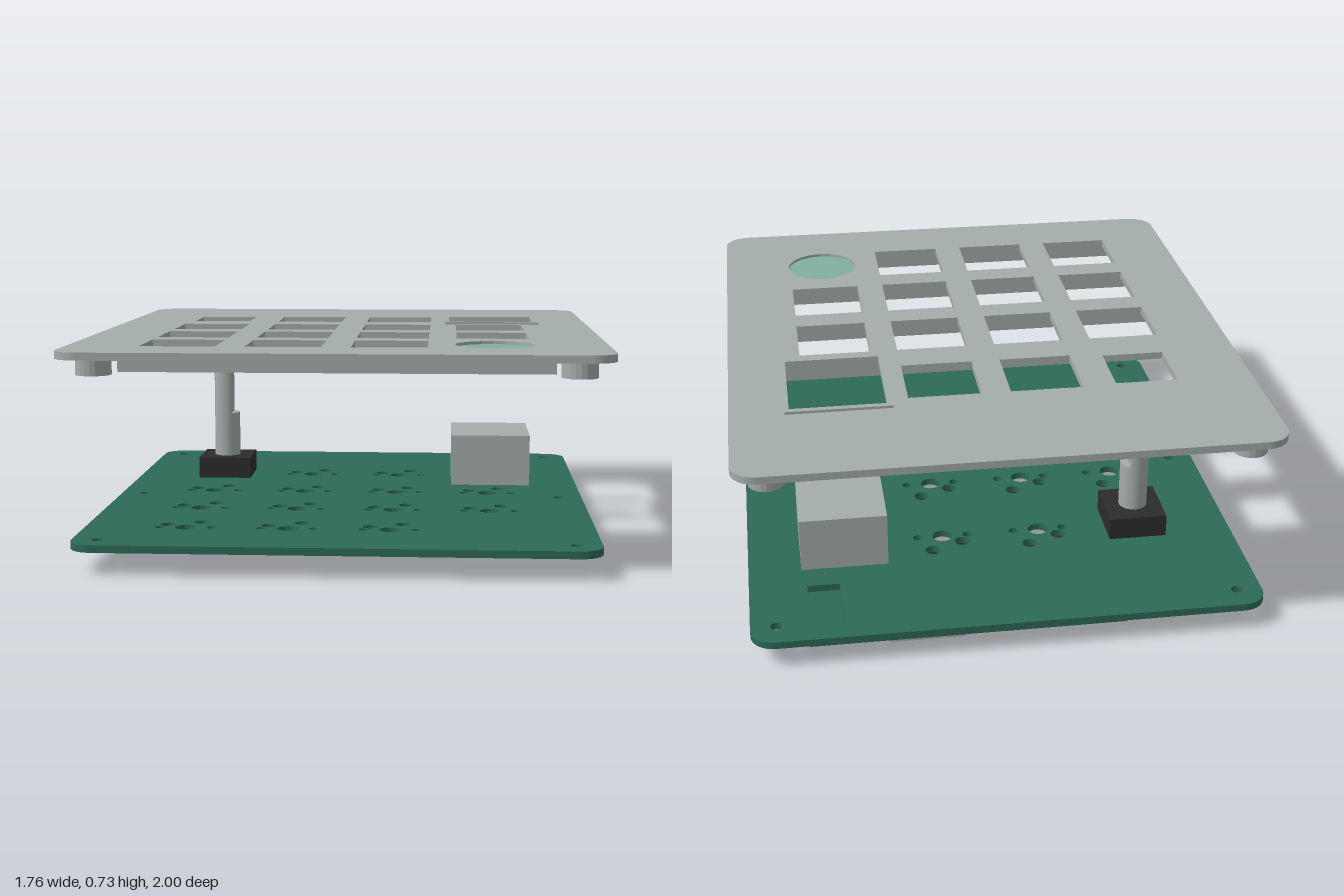
import * as THREE from 'three';

const mat = (name, color) => {
  const m = new THREE.MeshStandardMaterial({ color });
  m.name = name;
  return m;
};

// Outline helpers work in plan: x to the right, z to the front
function rectPath(x0, x1, z0, z1, Type = THREE.Path) {
  return new Type([[x0, z0], [x1, z0], [x1, z1], [x0, z1]].map(([x, z]) => new THREE.Vector2(x, -z)));
}
function circlePath(x, z, r, Type = THREE.Path) {
  const p = new Type();
  p.absarc(x, -z, r, 0, Math.PI * 2);
  return p;
}
function roundedPlan(x0, x1, z0, z1, r) {
  const s = new THREE.Shape(), h = Math.PI / 2;
  s.absarc(x1 - r, -z0 - r, r, 0, h);
  s.absarc(x0 + r, -z0 - r, r, h, 2 * h);
  s.absarc(x0 + r, -z1 + r, r, 2 * h, 3 * h);
  s.absarc(x1 - r, -z1 + r, r, 3 * h, 4 * h);
  s.closePath();
  return s;
}
function slab(shape, y0, y1, curveSegments = 10) {
  const g = new THREE.ExtrudeGeometry(shape, { depth: y1 - y0, bevelEnabled: false, curveSegments });
  return g.rotateX(-Math.PI / 2).translate(0, y0, 0);
}
const boxGeo = (x0, x1, y0, y1, z0, z1) =>
  new THREE.BoxGeometry(x1 - x0, y1 - y0, z1 - z0).translate((x0 + x1) / 2, (y0 + y1) / 2, (z0 + z1) / 2);

export function createModel() {
  const grey = mat('casing grey', 0xa4adaa);
  const green = mat('board green', 0x2d6a57);
  const black = mat('component black', 0x2c2c2e);
  const teal = mat('touch pad teal', 0x82b0a0);

  const model = new THREE.Group();
  const add = (parent, name, geo, material) => {
    const m = new THREE.Mesh(geo, material);
    m.name = name;
    parent.add(m);
    return m;
  };
  const group = (name) => {
    const g = new THREE.Group();
    g.name = name;
    model.add(g);
    return g;
  };

  // Key layout: four by four, without the dial, display and touch pad cells
  const cols = [-0.517, -0.174, 0.169, 0.51], rows = [-0.415, -0.04, 0.305, 0.648];
  const keys = [];
  rows.forEach((z, r) => cols.forEach((x, c) => {
    const used = (r === 0 && (c === 0 || c === 3)) || (r === 3 && c === 3);
    if (!used) keys.push([x, z]);
  }));
  const fixings = [];
  for (const x of [-0.77, 0.77]) for (const z of [-0.89, 0.035, 0.86]) fixings.push([x, z]);

  // Top plate with key, dial, display and touch pad openings
  const cover = group('cover');
  const plate = roundedPlan(-0.88, 0.88, -1, 1, 0.085);
  for (const [x, z] of keys) plate.holes.push(rectPath(x - 0.123, x + 0.123, z - 0.123, z + 0.123));
  plate.holes.push(rectPath(-0.622, -0.41, -0.527, -0.31));
  plate.holes.push(rectPath(0.363, 0.685, -0.582, -0.206));
  plate.holes.push(circlePath(0.51, 0.648, 0.13));
  add(cover, 'topPlate', slab(plate, 0.695, 0.72), grey);

  const frame = rectPath(0.347, 0.7, -0.603, -0.19, THREE.Shape);
  frame.holes.push(rectPath(0.363, 0.685, -0.582, -0.206));
  add(cover, 'displayFrame', slab(frame, 0.719, 0.729), grey);
  add(cover, 'touchPad', slab(circlePath(0.51, 0.648, 0.13, THREE.Shape), 0.695, 0.71, 20), teal);

  // Stiffening ribs under the plate
  for (const z of [-0.18, 0.138, 0.48, 0.81])
    add(cover, 'crossRib', boxGeo(-0.7, 0.7, 0.642, 0.696, z - 0.018, z + 0.018), grey);
  for (const x of [-0.345, 0, 0.34])
    add(cover, 'lengthRib', boxGeo(x - 0.018, x + 0.018, 0.642, 0.696, -0.19, 0.81), grey);

  // Hollow screw posts
  for (const [x, z] of fixings) {
    const post = circlePath(x, z, 0.058, THREE.Shape);
    post.holes.push(circlePath(x, z, 0.025));
    add(cover, 'screwPost', slab(post, 0.637, 0.696), grey);
  }

  // Circuit board drilled for switches and screws
  const board = group('board');
  const pcb = roundedPlan(-0.855, 0.855, -0.98, 0.945, 0.08);
  for (const [x, z] of fixings) pcb.holes.push(circlePath(x, z, 0.02));
  for (const [x, z] of keys)
    for (const [dx, dz, r] of [[0, 0, 0.036], [-0.088, 0, 0.017], [0.088, 0, 0.017], [-0.066, -0.043, 0.027], [0.043, -0.089, 0.027]])
      pcb.holes.push(circlePath(x + dx, z + dz, r));
  pcb.holes.push(rectPath(0.55, 0.66, -0.91, -0.67));
  add(board, 'circuitBoard', slab(pcb, 0.075, 0.1, 7), green);

  // Switch sockets under the board, with cut corners at the back
  for (const [x, z] of keys) {
    const s = new THREE.Shape([[-0.118, -0.005], [0.118, -0.005], [0.118, -0.075], [0.085, -0.113], [-0.085, -0.113], [-0.118, -0.075]]
      .map(([dx, dz]) => new THREE.Vector2(x + dx, -(z + dz))));
    add(board, 'switchSocket', slab(s, 0.02, 0.075), black);
  }

  // Controller module on the underside
  const controller = group('controller');
  add(controller, 'controllerBoard', boxGeo(-0.38, 0.665, 0.058, 0.0752, -0.96, -0.6), green);
  add(controller, 'shieldedChip', boxGeo(0.15, 0.4, 0.015, 0.058, -0.91, -0.65), grey);
  add(controller, 'smallConnector', boxGeo(-0.23, -0.13, 0, 0.058, -0.85, -0.71), grey);

  // Display block
  add(model, 'displayBlock', boxGeo(0.375, 0.675, 0.1, 0.292, -0.568, -0.208), grey);

  // Rotary dial: base, round shaft and flat-sided top
  const dial = group('rotaryDial');
  add(dial, 'dialBase', boxGeo(-0.617, -0.415, 0.1, 0.18, -0.52, -0.31), black);
  add(dial, 'dialShaft', new THREE.CylinderGeometry(0.05, 0.05, 0.17, 24).translate(-0.517, 0.265, -0.413), grey);
  const a = Math.acos(0.44);
  const d = new THREE.Shape();
  d.absarc(-0.517, 0.413, 0.05, a, Math.PI * 2 - a);
  d.closePath();
  add(dial, 'flatShaft', slab(d, 0.35, 0.52, 20), grey);

  return model;
}
